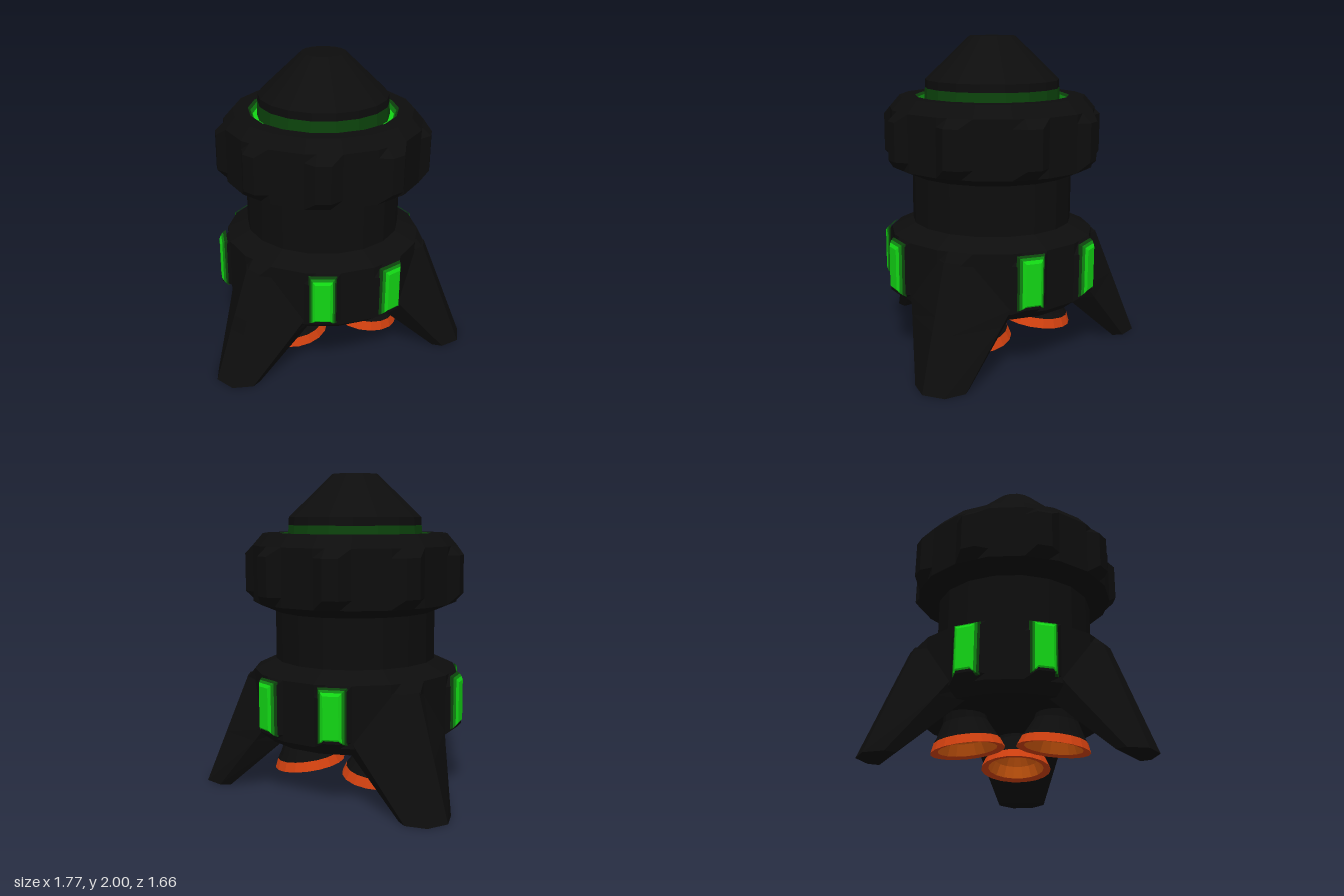
import * as THREE from 'three';

const mat = (name, color) => {
  const m = new THREE.MeshStandardMaterial({ color });
  m.name = name;
  return m;
};
const RAD = Math.PI / 180;

// Flat-faced skin through a stack of closed rings, counter-clockwise about the stacking direction
function loft(rings, capStart = false, capEnd = false) {
  const pos = [];
  const tri = (...pts) => pts.forEach((p) => pos.push(...p));
  const n = rings[0].length;
  for (let i = 0; i < rings.length - 1; i++) {
    for (let j = 0; j < n; j++) {
      const k = (j + 1) % n;
      const [a, b, c, d] = [rings[i][j], rings[i][k], rings[i + 1][k], rings[i + 1][j]];
      tri(a, b, c);
      tri(a, c, d);
    }
  }
  const cap = (r, flip) => {
    for (let j = 1; j < n - 1; j++) flip ? tri(r[0], r[j + 1], r[j]) : tri(r[0], r[j], r[j + 1]);
  };
  if (capStart) cap(rings[0], true);
  if (capEnd) cap(rings[rings.length - 1], false);
  const g = new THREE.BufferGeometry();
  g.setAttribute('position', new THREE.Float32BufferAttribute(pos, 3));
  g.computeVertexNormals();
  return g;
}

// 18-sided ring with flats facing front and back
const roundRing = ([r, y]) =>
  Array.from({ length: 18 }, (_, i) => {
    const a = (10 + 20 * i) * RAD;
    return [r * Math.sin(a), y, r * Math.cos(a)];
  });

// Ring with nine raised ribs; the panels between them stay at the recess radius
const RECESS = 0.655;
function ribbedRing([r, y]) {
  const pts = [];
  for (let k = 0; k < 9; k++) {
    for (const off of [-10, -3.8, 3.8, 10]) {
      const a = (40 * k + off) * RAD;
      const rib = Math.abs(off) < 5;
      let q = Math.min(r, RECESS);
      if (rib) q = r > RECESS ? r : (r * Math.cos(10 * RAD)) / Math.cos(3.8 * RAD);
      pts.push([q * Math.sin(a), y, q * Math.cos(a)]);
    }
  }
  return pts;
}

export function createModel() {
  const black = mat('black hull', 0x0d0d0d);
  const darkGreen = mat('dark green glow', 0x0c430c);
  const midGreen = mat('mid green glow', 0x0e8510);
  const brightGreen = mat('bright green light', 0x12d614);
  const orangeRed = mat('nozzle rim orange', 0xd0400f);
  const orange = mat('nozzle inner orange', 0xe06010);
  const yellow = mat('burner yellow', 0xe4b612);

  const model = new THREE.Group();
  model.name = 'rocketPod';
  const hull = new THREE.Group();
  hull.name = 'hull';
  hull.position.z = -0.15;
  model.add(hull);

  const add = (parent, name, geo, material) => {
    const m = new THREE.Mesh(geo, material);
    m.name = name;
    parent.add(m);
    return m;
  };
  const turned = (parent, name, material, profile, capStart, capEnd) =>
    add(parent, name, loft(profile.map(roundRing), capStart, capEnd), material);

  // Main body
  add(hull, 'lowerHull', loft([
    [0.58, 0.33], [0.655, 0.39], [0.706, 0.43], [0.706, 0.69], [0.655, 0.765], [0.515, 0.83],
  ].map(ribbedRing), true, false), black);
  turned(hull, 'neck', black, [[0.515, 0.83], [0.515, 1.14]]);
  add(hull, 'upperCollar', loft([
    [0.515, 1.14], [0.655, 1.2], [0.706, 1.26], [0.706, 1.5], [0.655, 1.555], [0.59, 1.63], [0.49, 1.63],
  ].map(ribbedRing)), black);

  // Glowing groove around the nose
  turned(hull, 'grooveOuterWall', darkGreen, [[0.49, 1.63], [0.474, 1.615]]);
  turned(hull, 'grooveInnerWall', midGreen, [[0.474, 1.615], [0.46, 1.59]]);
  turned(hull, 'grooveFloor', brightGreen, [[0.46, 1.59], [0.433, 1.59]]);
  turned(hull, 'noseBand', darkGreen, [[0.433, 1.59], [0.428, 1.68]]);
  turned(hull, 'noseCone', black, [[0.428, 1.68], [0.425, 1.73], [0.145, 2.0]], false, true);

  // Window: stepped frames rising to a bright face, local z points outward
  const pane = (hw, y0, y1, z) => [[-hw, y0, z], [hw, y0, z], [hw, y1, z], [-hw, y1, z]];
  const panes = [
    pane(0.09, 0.415, 0.755, 0.664), pane(0.077, 0.425, 0.745, 0.684),
    pane(0.064, 0.438, 0.732, 0.698), pane(0.047, 0.457, 0.713, 0.711),
  ];
  const windowParts = [
    ['windowOuterFrame', loft(panes.slice(0, 2)), darkGreen],
    ['windowInnerFrame', loft(panes.slice(1, 3)), midGreen],
    ['windowFace', loft(panes.slice(2, 4), false, true), brightGreen],
  ];
  for (let k = 0; k < 9; k++) {
    if (k % 3 === 0) continue; // legs sit on every third rib
    const win = new THREE.Group();
    win.name = 'window';
    win.rotation.y = 40 * k * RAD;
    windowParts.forEach((p) => add(win, ...p));
    hull.add(win);
  }

  // Leg sections: height, then outer, side and inner corners [x, z]
  const legSection = ([y, [ox, oz], [sx, sz], [ix, iz]]) => [
    [-ox, y, oz], [ox, y, oz], [sx, y, sz], [ix, y, iz], [-ix, y, iz], [-sx, y, sz],
  ];
  const legGeo = loft([
    [0, [0.07, 0.98], [0.16, 0.88], [0.155, 0.81]],
    [0.33, [0.06, 0.85], [0.29, 0.63], [0.28, 0.45]],
    [0.42, [0.056, 0.815], [0.325, 0.565], [0.3, 0.4]],
    [0.71, [0.047, 0.7], [0.12, 0.63], [0.12, 0.4]],
  ].map(legSection), true, true);

  // Three legs, each with an engine nozzle on its inner side
  for (let k = 0; k < 3; k++) {
    const side = new THREE.Group();
    side.name = 'legAndEngine';
    side.rotation.y = 120 * k * RAD;
    hull.add(side);
    add(side, 'leg', legGeo, black);

    const nozzle = new THREE.Group();
    nozzle.name = 'nozzle';
    nozzle.position.set(0, 0.112, 0.305);
    nozzle.rotation.x = 0.13;
    side.add(nozzle);
    turned(nozzle, 'burner', yellow, [[0.1, 0.14], [0.101, 0.139]], true);
    turned(nozzle, 'nozzleInside', orange, [[0.101, 0.139], [0.15, 0.08], [0.185, 0.01]]);
    turned(nozzle, 'nozzleRim', orangeRed, [[0.185, 0.01], [0.232, 0], [0.208, 0.058]]);
    turned(nozzle, 'nozzleBell', black, [[0.208, 0.058], [0.19, 0.085], [0.14, 0.18], [0.13, 0.27]]);
  }
  return model;
}
